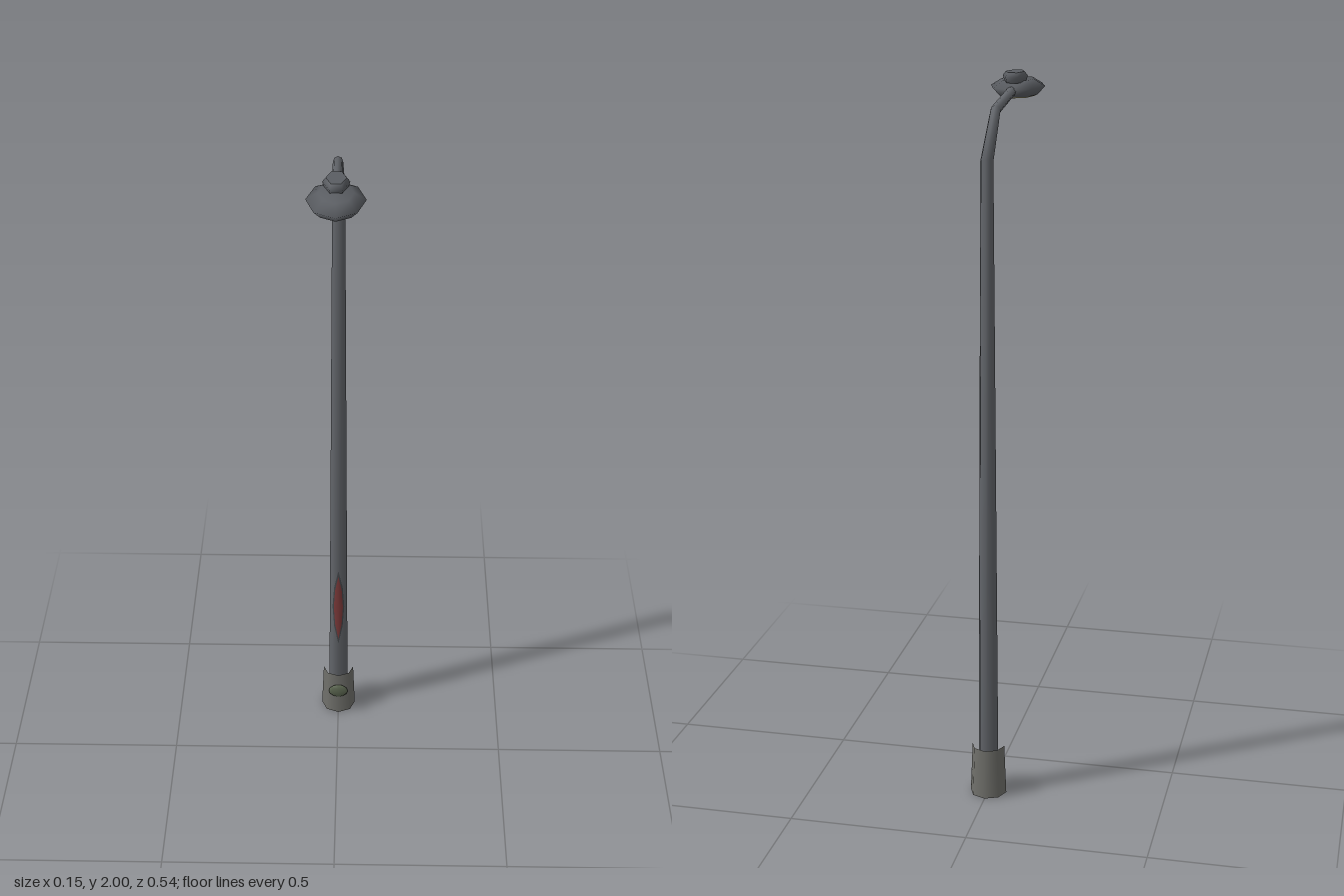
import * as THREE from 'three';

const POLE_Z = -0.219;

function part(name, geometry, color, side = THREE.FrontSide) {
  const mesh = new THREE.Mesh(geometry, new THREE.MeshStandardMaterial({ color, side }));
  mesh.name = name;
  return mesh;
}

// Skin over rings that all hold the same number of points, with optional end caps.
function loft(rings, capStart, capEnd) {
  const n = rings[0].length;
  const pos = rings.flat().flat();
  const index = [];
  for (let r = 0; r < rings.length - 1; r++) {
    for (let i = 0; i < n; i++) {
      const j = (i + 1) % n, a = r * n, b = a + n;
      index.push(a + i, a + j, b + j, a + i, b + j, b + i);
    }
  }
  const cap = (ring, flip) => {
    const s = pos.length / 3;
    pos.push(...ring.flat());
    for (let i = 1; i < n - 1; i++) {
      index.push(s, s + (flip ? i + 1 : i), s + (flip ? i : i + 1));
    }
  };
  if (capStart) cap(rings[0], true);
  if (capEnd) cap(rings[rings.length - 1], false);
  const g = new THREE.BufferGeometry();
  g.setAttribute('position', new THREE.Float32BufferAttribute(pos, 3));
  g.setIndex(index);
  g.computeVertexNormals();
  return g;
}

// Eight-sided tube ring in the yz plane; tilt leans it from upright towards the front.
function tubeRing(y, z, radius, tilt, stretch = 1) {
  return Array.from({ length: 8 }, (_, i) => {
    const a = (i / 8) * Math.PI * 2;
    const d = Math.cos(a) * radius * stretch;
    return [Math.sin(a) * radius, y - d * Math.sin(tilt), z + d * Math.cos(tilt)];
  });
}

// Horizontal outline ring, scaled about its centre.
function flatRing(outline, y, scale, cz) {
  return outline.map(([x, z]) => [x * scale, y, cz + z * scale]);
}

export function createModel() {
  const group = new THREE.Group();
  group.name = 'streetLamp';

  // Tapered, open-topped foot sleeve
  const sleeve = new THREE.CylinderGeometry(0.046, 0.052, 0.145, 8, 1, true);
  sleeve.translate(0, 0.0725, POLE_Z);
  group.add(part('footSleeve', sleeve, 0x70706b));
  const floor = new THREE.CircleGeometry(0.052, 8);
  floor.rotateX(Math.PI / 2);
  floor.rotateY(Math.PI);
  floor.translate(0, 0, POLE_Z);
  group.add(part('footBottom', floor, 0x70706b));

  // Shallow knob on the front of the sleeve
  const knob = new THREE.SphereGeometry(1, 8, 6);
  knob.scale(0.03, 0.024, 0.007);
  knob.translate(0, 0.085, -0.171);
  group.add(part('footKnob', knob, 0x5d6852));

  // Pole bending forward into the arm
  const tiltLow = 0.68 / 2, tiltArm = 1.44;
  group.add(part('poleAndArm', loft([
    tubeRing(0.03, POLE_Z, 0.029, 0),
    tubeRing(1.81, POLE_Z, 0.0175, tiltLow, 1.05),
    tubeRing(1.928, -0.115, 0.0135, 1.08, 1.07),
    tubeRing(1.953, 0.09, 0.013, tiltArm),
  ], true, true), 0x62656a));

  // Long pointed panel folded over the pole's front edge, with a dark border
  const panel = (name, halfW, bottom, top, out, color) => {
    const mid = (bottom + top) / 2, q = (top - bottom) * 0.27;
    const pts = [[0, bottom], [halfW * 0.72, mid - q], [halfW, mid], [halfW * 0.72, mid + q],
      [0, top], [-halfW * 0.72, mid + q], [-halfW, mid], [-halfW * 0.72, mid - q]];
    const pos = [], index = [];
    const onPole = (x, y) => POLE_Z + 0.029 - y * 0.0064 - Math.abs(x) * 0.414 + out;
    for (const [x, y] of [[0, mid], ...pts]) pos.push(x, y, onPole(x, y));
    for (let i = 0; i < 8; i++) index.push(0, 1 + i, 1 + (i + 1) % 8);
    const g = new THREE.BufferGeometry();
    g.setAttribute('position', new THREE.Float32BufferAttribute(pos, 3));
    g.setIndex(index);
    g.computeVertexNormals();
    group.add(part(name, g, color, THREE.DoubleSide));
  };
  panel('panelBorder', 0.018, 0.26, 0.54, 0.0015, 0x45484c);
  panel('redPanel', 0.014, 0.28, 0.52, 0.003, 0x7d3a3a);

  // Lamp head: stretched octagon, widest at its rim
  const headZ = 0.166;
  const oval = Array.from({ length: 8 }, (_, i) => {
    const a = (i / 8) * Math.PI * 2;
    return [Math.sin(a) * 0.076, Math.cos(a) * 0.104];
  });
  group.add(part('lampHead', loft([
    flatRing(oval, 1.934, 0.72, headZ),
    flatRing(oval, 1.957, 1, headZ),
    flatRing(oval, 1.976, 0.6, headZ),
    flatRing(oval, 1.979, 0.05, headZ),
  ], false, true), 0x5a5d62));

  // Glass underneath
  group.add(part('lampGlass', loft([
    flatRing(oval, 1.93, 0.62, headZ),
    flatRing(oval, 1.934, 0.72, headZ),
  ], true, false), 0xa59f78));

  // Six-sided cap on top of the head
  const hexagon = [[0.017, 0.048], [0.035, 0], [0.017, -0.048],
    [-0.017, -0.048], [-0.035, 0], [-0.017, 0.048]];
  group.add(part('lampCap', loft([
    flatRing(hexagon, 1.972, 0.85, 0.131),
    flatRing(hexagon, 1.989, 1, 0.131),
    flatRing(hexagon, 2.0, 0.75, 0.131),
  ], false, true), 0x5a5d62));

  return group;
}
